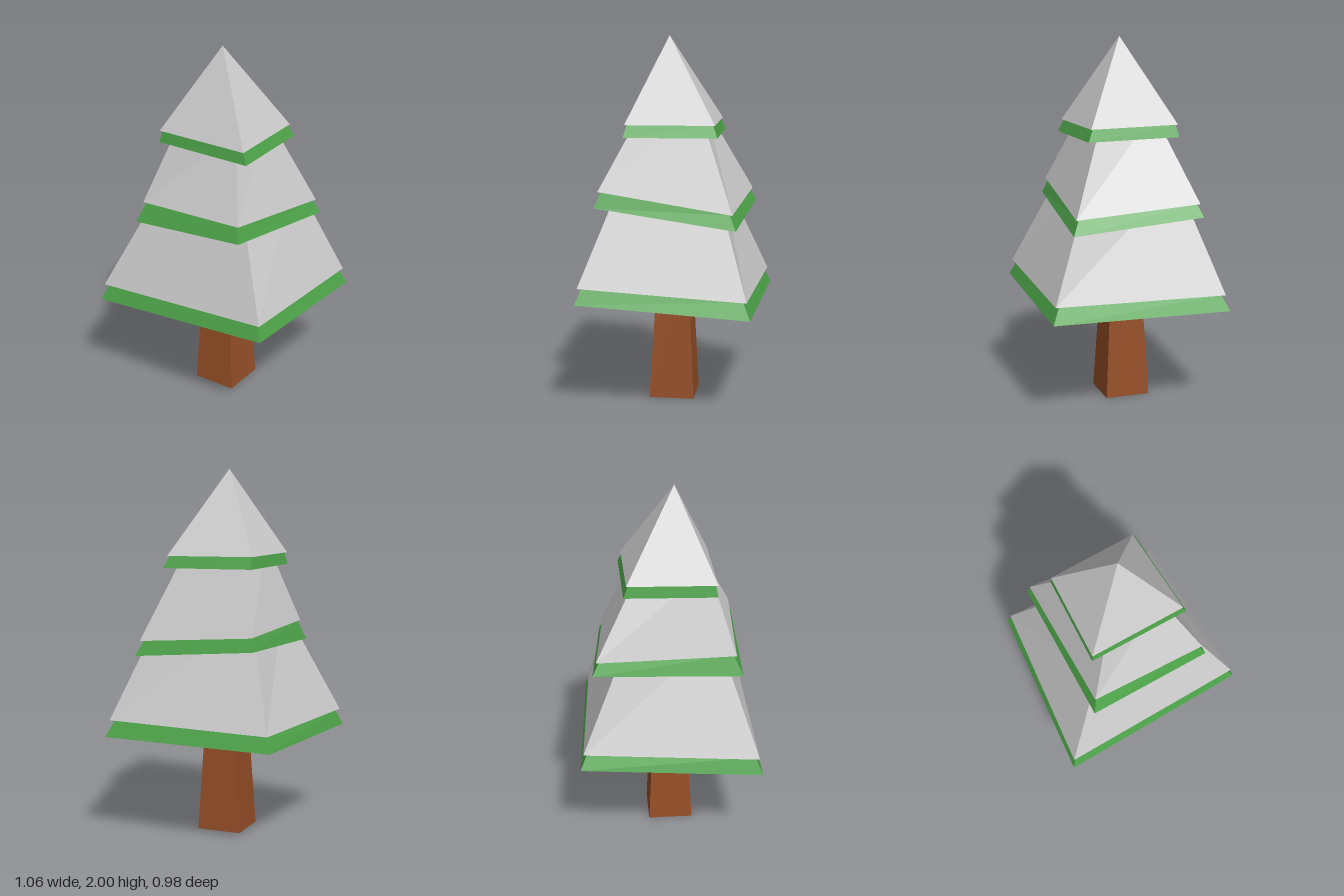
import * as THREE from 'three';

const material = (color) => new THREE.MeshStandardMaterial({ color, flatShading: true });

// Joins four-cornered rings in order; each ring lists front-left, front-right, back-right, back-left
// as seen from the front. A repeated point acts as a tip.
function loft(name, rings, mat) {
  const pos = [];
  const tri = (a, b, c) => {
    const same = (p, q) => p.every((v, i) => v === q[i]);
    if (!same(a, b) && !same(b, c) && !same(c, a)) pos.push(...a, ...b, ...c);
  };
  for (let r = 0; r < rings.length - 1; r++) {
    for (let i = 0; i < 4; i++) {
      const j = (i + 1) % 4;
      const lo = rings[r], hi = rings[r + 1];
      tri(lo[i], lo[j], hi[j]);
      tri(lo[i], hi[j], hi[i]);
    }
  }
  const geo = new THREE.BufferGeometry();
  geo.setAttribute('position', new THREE.Float32BufferAttribute(pos, 3));
  geo.computeVertexNormals();
  const mesh = new THREE.Mesh(geo, mat);
  mesh.name = name;
  return mesh;
}

const tip = (x, y, z) => Array(4).fill([x, y, z]);
const square = (cx, y, cz, h) => [[cx - h, y, cz + h], [cx + h, y, cz + h], [cx + h, y, cz - h], [cx - h, y, cz - h]];
const inset = (ring, k) => ring.map(([x, y, z]) => [x * k, y, z * k]);

// Crooked tiers, bottom to top: leaf rim, snow rim, top ring and height of the hollow underside
const tiers = [
  {
    name: 'lower',
    leaf: [[-0.53, 0.54, 0.485], [0.53, 0.615, 0.475], [0.525, 0.56, -0.445], [-0.445, 0.56, -0.49]],
    snow: [[-0.515, 0.63, 0.467], [0.515, 0.7, 0.462], [0.507, 0.65, -0.425], [-0.425, 0.645, -0.473]],
    top: [[-0.235, 1.25, 0.255], [0.27, 1.25, 0.262], [0.267, 1.25, -0.235], [-0.235, 1.25, -0.21]],
    hollow: 0.76,
  },
  {
    name: 'middle',
    leaf: [[-0.333, 1.04, 0.39], [0.345, 1.1, 0.405], [0.385, 1.0, -0.356], [-0.32, 1.065, -0.41]],
    snow: [[-0.308, 1.15, 0.355], [0.33, 1.185, 0.385], [0.365, 1.08, -0.335], [-0.305, 1.135, -0.39]],
    top: [[-0.156, 1.6, 0.213], [0.17, 1.6, 0.174], [0.156, 1.6, -0.142], [-0.131, 1.6, -0.14]],
    hollow: 1.2,
  },
  {
    name: 'upper',
    leaf: [[-0.265, 1.475, 0.255], [0.29, 1.47, 0.254], [0.268, 1.47, -0.245], [-0.242, 1.475, -0.237]],
    snow: [[-0.262, 1.54, 0.254], [0.27, 1.535, 0.25], [0.248, 1.535, -0.23], [-0.24, 1.54, -0.222]],
    top: tip(0, 2, 0.045),
    hollow: 1.58,
  },
];

export function createModel() {
  const tree = new THREE.Group();
  tree.name = 'snowyTree';
  const bark = material(0x964f27);
  const leaves = material(0x4da349);
  const snow = material(0xcccccc);

  // Tapered square trunk, running up into the lowest tier
  tree.add(loft('trunk', [
    tip(0.002, 0, 0.02), square(0.002, 0, 0.02, 0.124), square(0.002, 0.85, 0.014, 0.079), tip(0.002, 0.85, 0.014),
  ], bark));

  for (const t of tiers) {
    const tier = new THREE.Group();
    tier.name = `${t.name}Tier`;
    const seam = inset(t.snow, 0.955);
    const peak = t.top[0][1];
    // Foliage: hollow underside and sloping rim
    tier.add(loft('foliage', [tip(0, t.hollow, 0.02), t.leaf, seam], leaves));
    // Snow: narrow overhanging lip, sloping cover and closed top
    tier.add(loft('snowCover', [seam, t.snow, t.top, tip(0, peak, peak === 2 ? 0.045 : 0.02)], snow));
    tree.add(tier);
  }
  return tree;
}
